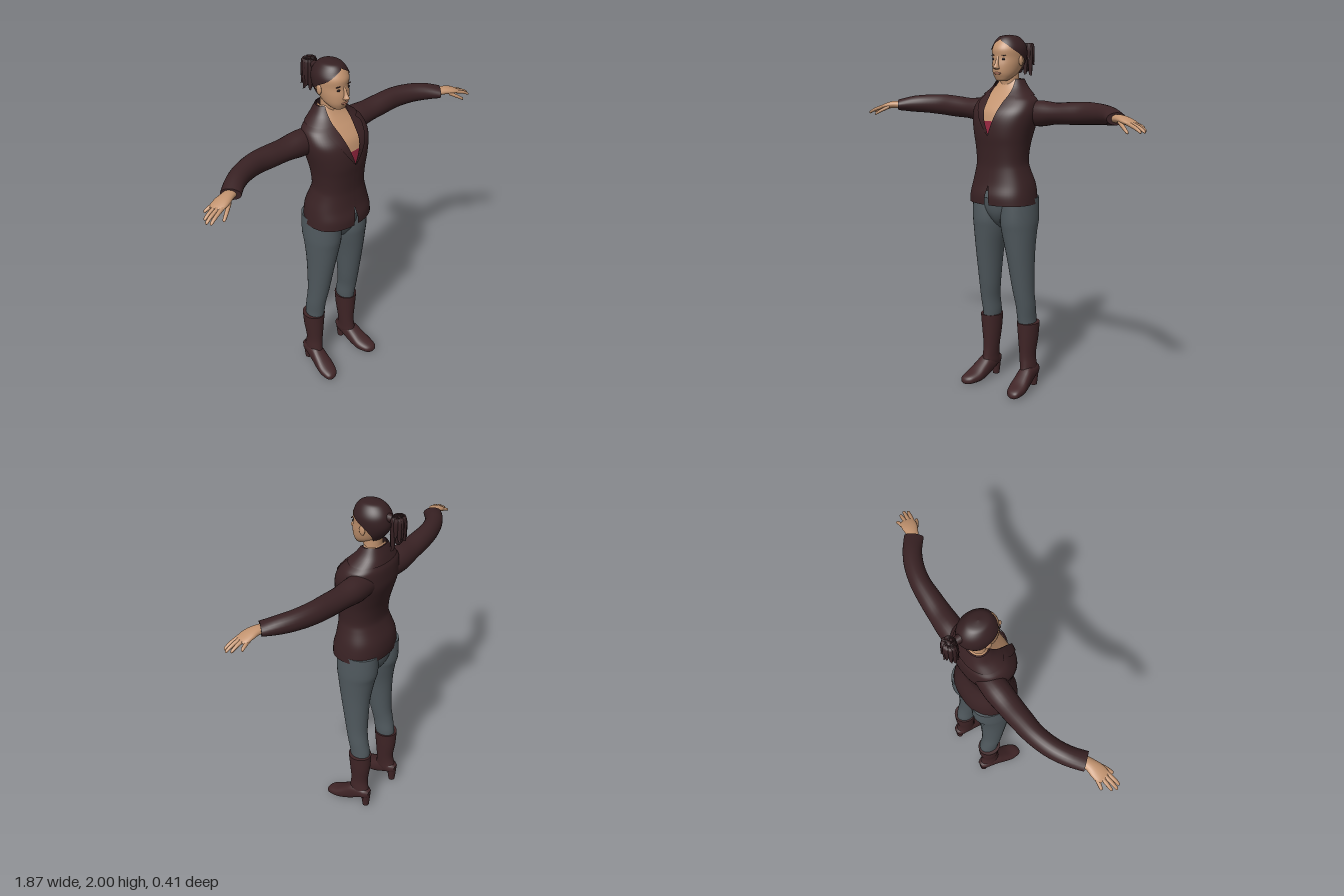
import * as THREE from 'three';

const paint = (name, color, side = THREE.FrontSide) => {
  const m = new THREE.MeshStandardMaterial({ color, side });
  m.name = name;
  return m;
};

// Smooth interpolation of rows, column by column
function refine(rows, sub) {
  const out = [];
  const at = i => rows[Math.min(rows.length - 1, Math.max(0, i))];
  for (let i = 0; i < rows.length - 1; i++) {
    for (let k = 0; k < sub; k++) {
      const t = k / sub;
      out.push(rows[0].map((_, j) => {
        const [a, b, c, d] = [at(i - 1)[j], at(i)[j], at(i + 1)[j], at(i + 2)[j]];
        return 0.5 * (2 * b + (c - a) * t + (2 * a - 5 * b + 4 * c - d) * t * t + (3 * b - a - 3 * c + d) * t ** 3);
      }));
    }
  }
  out.push(at(rows.length - 1));
  return out;
}

// Skin over rows of [x, y, z, radiusU, radiusV, openAngle, width]; angles start at v, in degrees.
// A fixed axis keeps the rings parallel, otherwise they follow the path.
function loft(rows, { n = 32, sub = 4, v = [0, 0, 1], axis = null, p = 2, arc = null, cap = false } = {}) {
  const R = refine(rows, sub), V = new THREE.Vector3(...v), pos = [], idx = [];
  const cols = arc ? n + 1 : n;
  const bend = s => Math.sign(s) * Math.abs(s) ** (2 / p);
  R.forEach((r, i) => {
    const a = R[Math.max(0, i - 1)], b = R[Math.min(R.length - 1, i + 1)];
    const T = axis ? new THREE.Vector3(...axis) : new THREE.Vector3(b[0] - a[0], b[1] - a[1], b[2] - a[2]);
    const U = T.cross(V).normalize();
    const [s, e] = arc ? arc(r) : [0, 360];
    for (let k = 0; k < cols; k++) {
      const t = THREE.MathUtils.degToRad(s + (e - s) * k / n);
      const pu = Math.max(0, r[3]) * bend(Math.sin(t)), pv = Math.max(0, r[4]) * bend(Math.cos(t));
      pos.push(r[0] + U.x * pu + V.x * pv, r[1] + U.y * pu + V.y * pv, r[2] + U.z * pu + V.z * pv);
    }
  });
  for (let i = 0; i < R.length - 1; i++) {
    for (let k = 0; k < n; k++) {
      const a = i * cols + k, b = i * cols + (k + 1) % cols;
      idx.push(a, b, b + cols, a, b + cols, a + cols);
    }
  }
  if (cap) {
    for (const i of [0, R.length - 1]) {
      const base = pos.length / 3;
      pos.push(...pos.slice(i * cols * 3, (i + 1) * cols * 3), ...R[i].slice(0, 3));
      for (let k = 0; k < n; k++) {
        const a = base + k, b = base + (k + 1) % cols;
        idx.push(...(i ? [a, b, base + cols] : [b, a, base + cols]));
      }
    }
  }
  const g = new THREE.BufferGeometry();
  g.setAttribute('position', new THREE.Float32BufferAttribute(pos, 3));
  g.setIndex(idx);
  g.computeVertexNormals();
  return g;
}

function mirrored(geo) {
  const g = geo.clone().scale(-1, 1, 1), ix = g.index;
  for (let i = 0; i < ix.count; i += 3) {
    const a = ix.getX(i);
    ix.setX(i, ix.getX(i + 2));
    ix.setX(i + 2, a);
  }
  return g;
}

const blob = (x, y, z, sx, sy, sz) => new THREE.SphereGeometry(1, 16, 12).scale(sx, sy, sz).translate(x, y, z);

export function createModel() {
  const model = new THREE.Group();
  const jacketMat = paint('jacket maroon', 0x392224, THREE.DoubleSide);
  const hairMat = paint('hair brown', 0x352022, THREE.DoubleSide);
  const bootMat = paint('boot leather', 0x402527);
  const trouserMat = paint('trouser grey', 0x50595e);
  const skinMat = paint('skin', 0xc2936f);
  const shirtMat = paint('shirt red', 0x96263f);
  const eyeMat = paint('eye dark', 0x20161a);
  const lipMat = paint('lips', 0xa46c58);
  const add = (name, geo, mat) => {
    const m = new THREE.Mesh(geo, mat);
    m.name = name;
    model.add(m);
  };
  const pair = (name, geo, mat) => {
    add(name + 'Left', geo, mat);
    add(name + 'Right', mirrored(geo), mat);
  };
  const UP = { axis: [0, 1, 0] };
  const opening = r => [Math.max(0, r[5]), 360 - Math.max(0, r[5])];

  // Jacket body, open in a V at the chest and slightly at the hem
  const torso = [
    [0, 1.09, 0.048, 0.196, 0.153, 3], [0, 1.14, 0.046, 0.191, 0.155, 2],
    [0, 1.2, 0.042, 0.18, 0.143, 0], [0, 1.27, 0.05, 0.159, 0.125, 0],
    [0, 1.32, 0.055, 0.149, 0.118, 0], [0, 1.4, 0.053, 0.155, 0.125, 0],
    [0, 1.47, 0.047, 0.168, 0.138, 0], [0, 1.545, 0.035, 0.185, 0.146, 6.5],
    [0, 1.6, 0.025, 0.19, 0.138, 11], [0, 1.65, 0.006, 0.178, 0.115, 15],
    [0, 1.68, -0.003, 0.145, 0.095, 22], [0, 1.72, -0.014, 0.1, 0.072, 35],
    [0, 1.765, -0.018, 0.072, 0.05, 50]];
  const slice = (lo, hi, off) => torso.filter(r => r[1] >= lo && r[1] <= hi)
    .map(([x, y, z, a, b, g]) => [x, y, z, a + off, b + off, g]);
  add('jacketBody', loft(torso, { ...UP, n: 56, p: 2.3, arc: opening }), jacketMat);
  add('shirt', loft(slice(1.4, 1.545, -0.01), { ...UP, n: 40, p: 2.3 }), shirtMat);
  add('chest', loft(slice(1.545, 1.77, -0.01), { ...UP, n: 40, p: 2.3 }), skinMat);
  const lapelWidths = [1, 9, 14, 22, 16];
  const lapel = slice(1.47, 1.68, 0.006).map((r, i) => [...r, lapelWidths[i]]);
  pair('lapel', loft(lapel, { ...UP, n: 8, p: 2.3, arc: r => [r[5], r[5] + r[6]] }), jacketMat);
  add('collar', loft(slice(1.68, 1.77, 0.007), { ...UP, n: 40, p: 2.3, arc: opening }), jacketMat);

  // Sleeves
  pair('sleeve', loft([
    [0.1, 1.58, -0.03, 0.065, 0.065], [0.2, 1.583, -0.032, 0.07, 0.07], [0.3, 1.588, -0.03, 0.065, 0.058],
    [0.4, 1.594, -0.026, 0.06, 0.06], [0.5, 1.6, -0.018, 0.054, 0.059], [0.6, 1.602, 0.01, 0.052, 0.053],
    [0.68, 1.6, 0.052, 0.051, 0.046], [0.748, 1.594, 0.106, 0.052, 0.031]],
  { v: [0, 1, 0], n: 24, cap: true }), jacketMat);

  // Hands
  pair('palm', loft([
    [0.73, 1.594, 0.094, 0.03, 0.022], [0.77, 1.596, 0.11, 0.033, 0.021], [0.81, 1.59, 0.121, 0.041, 0.019],
    [0.848, 1.581, 0.128, 0.04, 0.013], [0.866, 1.576, 0.131, 0.028, 0.006]],
  { v: [0, 1, 0], n: 20, cap: true }), skinMat);
  const fingers = {
    thumb: [[0.785, 1.585, 0.143], [0.83, 1.562, 0.178], [0.862, 1.538, 0.192]],
    indexFinger: [[0.835, 1.582, 0.155], [0.89, 1.568, 0.17], [0.925, 1.543, 0.178]],
    middleFinger: [[0.84, 1.583, 0.138], [0.9, 1.57, 0.15], [0.937, 1.543, 0.158]],
    ringFinger: [[0.84, 1.583, 0.12], [0.892, 1.572, 0.126], [0.927, 1.547, 0.132]],
    littleFinger: [[0.825, 1.582, 0.1], [0.87, 1.574, 0.095], [0.897, 1.556, 0.09]],
  };
  for (const [name, pts] of Object.entries(fingers)) {
    const curve = new THREE.QuadraticBezierCurve3(...pts.map(q => new THREE.Vector3(...q)));
    const rows = [[0, 0.011], [0.5, 0.01], [0.85, 0.0085], [0.96, 0.006], [1, 0]]
      .map(([t, r]) => [...curve.getPoint(t).toArray(), r, r]);
    pair(name, loft(rows, { v: [0, 1, 0], n: 10, sub: 2 }), skinMat);
  }

  // Trousers
  pair('trouserLeg', loft([
    [0.13, 0.36, -0.008, 0.046, 0.058], [0.126, 0.42, -0.005, 0.05, 0.063], [0.127, 0.5, 0.008, 0.053, 0.063],
    [0.12, 0.6, 0.022, 0.06, 0.068], [0.11, 0.8, 0.034, 0.076, 0.09], [0.1, 0.93, 0.033, 0.093, 0.111],
    [0.098, 1.0, 0.028, 0.098, 0.125], [0.1, 1.12, 0.026, 0.092, 0.125]],
  { ...UP, cap: true }), trouserMat);
  add('trouserSeat', loft([
    [0, 0.94, 0.03, 0.02, 0.04], [0, 0.98, 0.03, 0.06, 0.085], [0, 1.04, 0.028, 0.13, 0.118],
    [0, 1.12, 0.028, 0.18, 0.13]], { ...UP, cap: true }), trouserMat);

  // Boots
  pair('bootShaft', loft([
    [0.14, 0.075, -0.03, 0.036, 0.045], [0.14, 0.1, -0.012, 0.042, 0.068], [0.138, 0.14, -0.006, 0.042, 0.06],
    [0.133, 0.2, -0.005, 0.043, 0.055], [0.133, 0.3, -0.01, 0.054, 0.065], [0.133, 0.395, -0.01, 0.063, 0.07]],
  { ...UP, cap: true }), bootMat);
  pair('bootFoot', loft([
    [0.14, 0.1, -0.084, 0.02, 0.018], [0.141, 0.1, -0.06, 0.036, 0.034], [0.142, 0.1, -0.03, 0.042, 0.042],
    [0.147, 0.08, 0.03, 0.046, 0.058], [0.153, 0.054, 0.08, 0.051, 0.05], [0.16, 0.035, 0.13, 0.054, 0.035],
    [0.168, 0.025, 0.18, 0.042, 0.025], [0.173, 0.02, 0.2, 0.024, 0.016], [0.174, 0.018, 0.207, 0, 0]],
  { axis: [0, 0, 1], v: [0, 1, 0], p: 2.4, n: 28 }), bootMat);
  pair('bootHeel', new THREE.CylinderGeometry(0.031, 0.02, 0.1, 20).translate(0.14, 0.05, -0.055), bootMat);

  // Neck and head
  add('neck', loft([
    [0, 1.66, -0.012, 0.068, 0.06], [0, 1.72, -0.01, 0.056, 0.05], [0, 1.76, -0.008, 0.052, 0.05],
    [0, 1.83, -0.005, 0.052, 0.055]], UP), skinMat);
  const skull = [
    [0, 1.753, 0.062, 0, 0, 155], [0, 1.757, 0.06, 0.03, 0.026, 155], [0, 1.775, 0.045, 0.05, 0.052, 150],
    [0, 1.8, 0.027, 0.065, 0.079, 140], [0, 1.84, 0.01, 0.076, 0.097, 120], [0, 1.88, -0.003, 0.082, 0.103, 94],
    [0, 1.92, -0.002, 0.084, 0.104, 58], [0, 1.95, -0.004, 0.075, 0.092, 32], [0, 1.972, -0.002, 0.057, 0.072, 0],
    [0, 1.988, 0, 0.036, 0.046, 0], [0, 1.995, 0, 0, 0, 0]];
  add('head', loft(skull, { ...UP, n: 40 }), skinMat);
  const cap = skull.slice(3).map(([x, y, z, a, b, g]) => [x, y + (y > 1.95 ? 0.005 : 0), z - 0.002, a + 0.006, b + 0.006, g]);
  cap[cap.length - 1][3] = cap[cap.length - 1][4] = 0;
  add('hairCap', loft(cap, { ...UP, n: 40, arc: opening }), hairMat);

  // Face
  add('nose', loft([
    [0, 1.815, 0.098, 0.004, 0.004], [0, 1.821, 0.104, 0.016, 0.018], [0, 1.829, 0.107, 0.016, 0.025],
    [0, 1.85, 0.102, 0.01, 0.016], [0, 1.888, 0.093, 0.008, 0.008]], { ...UP, n: 16 }), skinMat);
  add('lips', blob(0, 1.797, 0.102, 0.024, 0.007, 0.007), lipMat);
  pair('eye', blob(0.032, 1.872, 0.091, 0.013, 0.006, 0.005), eyeMat);
  pair('eyebrow', blob(0.034, 1.892, 0.091, 0.018, 0.0025, 0.006), hairMat);
  pair('ear', blob(0.083, 1.862, 0, 0.009, 0.028, 0.017), skinMat);

  // Ponytail with a band and fanned locks
  add('hairBand', new THREE.CylinderGeometry(0.018, 0.024, 0.05, 16).rotateX(-Math.PI / 2).translate(0, 1.93, -0.12), hairMat);
  add('ponytail', blob(0, 1.875, -0.163, 0.03, 0.078, 0.03), hairMat);
  for (let i = 0; i < 14; i++) {
    const a = i * 2.4, sx = Math.sin(a), cz = Math.cos(a), drop = 0.05 + 0.1 * ((i * 5) % 14) / 14;
    const rows = [
      [0, 1.935, -0.14, 0.008, 0.008], [sx * 0.025, 1.955, -0.163 + cz * 0.02, 0.013, 0.013],
      [sx * 0.034, 1.955 - drop * 0.6, -0.163 + cz * 0.03, 0.013, 0.013],
      [sx * 0.036, 1.93 - drop, -0.163 + cz * 0.032, 0.009, 0.009],
      [sx * 0.052, 1.92 - drop, -0.163 + cz * 0.044, 0, 0]];
    add('hairLock' + (i + 1), loft(rows, { ...UP, n: 8, sub: 3 }), hairMat);
  }
  return model;
}
